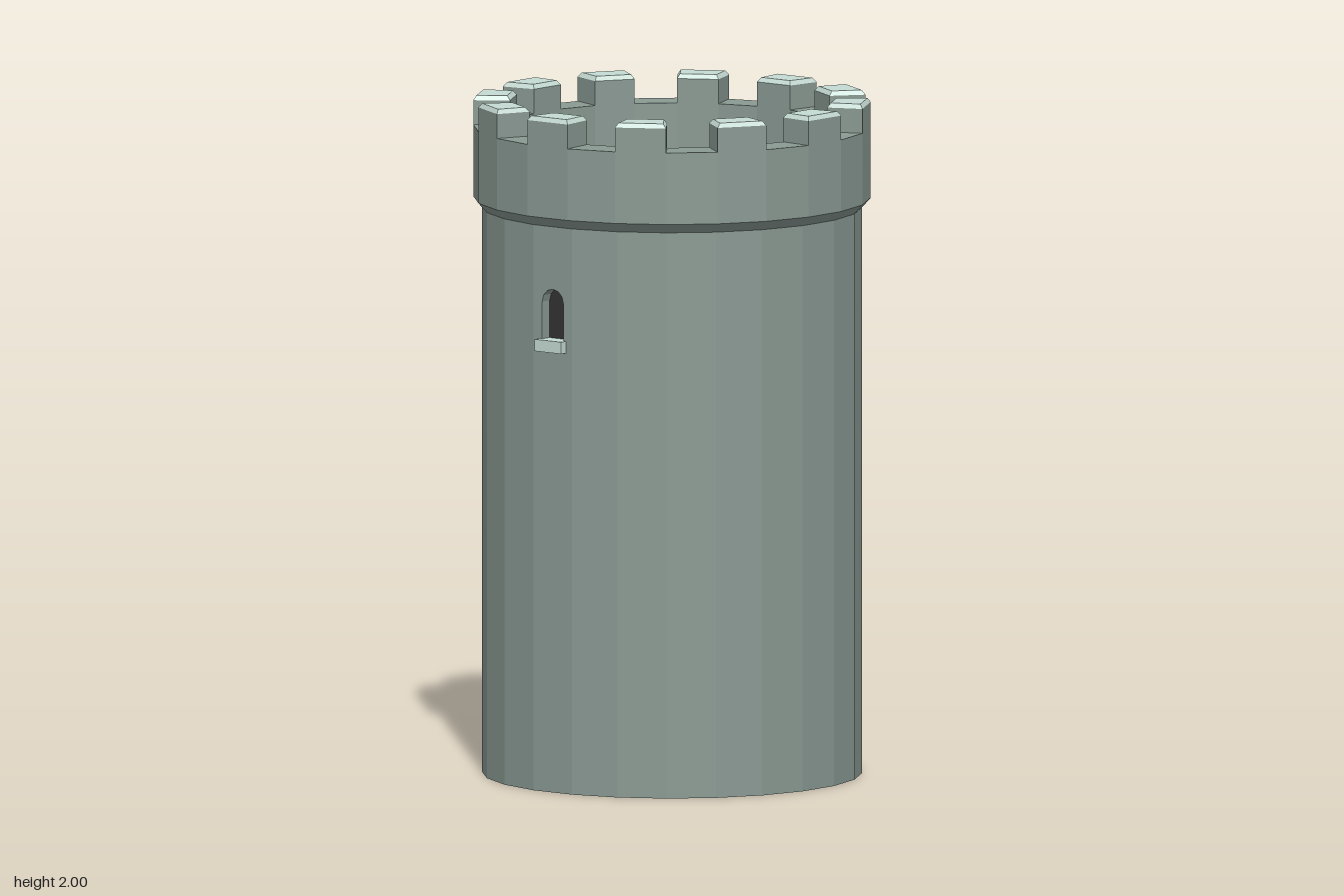
import * as THREE from 'three';

const SIDES = 24, STEP = (Math.PI * 2) / SIDES, HALF = STEP / 2;
const BODY_R = 0.558, OUT_R = 0.583, IN_R = 0.475;
const EAVES_Y = 1.675, WALL_TOP = 1.915, FLOOR_Y = 1.77;

const paint = (color, side = THREE.FrontSide) =>
  new THREE.MeshStandardMaterial({ color, flatShading: true, side });

// Box bent into a ring segment; the top shrinks by inset on all sides
function wedge(y0, y1, inset0, inset1) {
  const geo = new THREE.BoxGeometry(1, 1, 1);
  const p = geo.attributes.position;
  for (let i = 0; i < p.count; i++) {
    const top = p.getY(i) > 0, inset = top ? inset1 : inset0;
    const r = p.getZ(i) > 0 ? OUT_R - inset : IN_R + inset;
    const a = Math.sign(p.getX(i)) * (HALF - inset / r);
    p.setXYZ(i, r * Math.sin(a), top ? y1 : y0, r * Math.cos(a));
  }
  geo.computeVertexNormals();
  return geo;
}

// Round-headed window outline, counter-clockwise from the lower left
function windowOutline() {
  const w = 0.04, sill = 1.335, spring = 1.45, pts = [[-w, sill], [w, sill]];
  for (let i = 0; i <= 6; i++) {
    const a = (i / 6) * Math.PI;
    pts.push([w * Math.cos(a), spring + w * Math.sin(a)]);
  }
  return pts.map(([x, y]) => new THREE.Vector2(x, y));
}

export function createModel() {
  const model = new THREE.Group();
  model.name = 'tower';
  const stone = paint(0x8a9a93);
  const stoneOpen = paint(0x8a9a93, THREE.DoubleSide);
  const paleStone = paint(0xc5dbd3);
  const wood = paint(0x93724c);
  const dark = paint(0x333333, THREE.DoubleSide);

  const add = (parent, name, geo, mat) => {
    const mesh = new THREE.Mesh(geo, mat);
    mesh.name = name;
    parent.add(mesh);
    return mesh;
  };

  // Shaft: flat wall panels, open below, windows in the front and back panels
  const shaft = new THREE.Group();
  shaft.name = 'shaft';
  model.add(shaft);
  const apothem = BODY_R * Math.cos(HALF), w = BODY_R * Math.sin(HALF);
  const outline = windowOutline();
  for (let k = 0; k < SIDES; k++) {
    const panel = new THREE.Shape([[-w, 0], [w, 0], [w, EAVES_Y], [-w, EAVES_Y]]
      .map(([x, y]) => new THREE.Vector2(x, y)));
    const hasWindow = k % (SIDES / 2) === 0;
    if (hasWindow) panel.holes.push(new THREE.Path(outline));
    const geo = new THREE.ShapeGeometry(panel);
    geo.translate(0, 0, apothem).rotateY(k * STEP);
    add(shaft, 'wallPanel', geo, stoneOpen);
  }

  // Windows: reveal, dark back and projecting sill
  for (const turn of [0, Math.PI]) {
    const win = new THREE.Group();
    win.name = turn ? 'backWindow' : 'frontWindow';
    win.rotation.y = turn;
    model.add(win);
    const depth = 0.035, n = outline.length;
    const reveal = new THREE.PlaneGeometry(1, 1, n, 1);
    const p = reveal.attributes.position;
    for (let i = 0; i < p.count; i++) {
      const c = outline[(i % (n + 1)) % n];
      p.setXYZ(i, c.x, c.y, apothem - (i > n ? depth : 0));
    }
    reveal.computeVertexNormals();
    add(win, 'windowReveal', reveal, stoneOpen);
    const back = new THREE.ShapeGeometry(new THREE.Shape(outline));
    add(win, 'windowBack', back.translate(0, 0, apothem - depth), dark);
    const sill = new THREE.BoxGeometry(0.1, 0.035, 0.055);
    add(win, 'windowSill', sill.translate(0, 1.3225, apothem - 0.005), paleStone);
  }

  // Parapet: flared base, outer face, wall top and inner face
  const profile = [[BODY_R, EAVES_Y], [OUT_R, 1.703], [OUT_R, WALL_TOP],
    [IN_R, WALL_TOP], [IN_R, FLOOR_Y - 0.03]].map(([r, y]) => new THREE.Vector2(r, y));
  add(model, 'parapet', new THREE.LatheGeometry(profile, SIDES, HALF), stone);

  // Battlements: a merlon with a bevelled cap on every other side
  const merlonGeo = wedge(WALL_TOP, 1.987, 0, 0);
  const capGeo = wedge(1.987, 2, 0, 0.009);
  for (let k = 0; k < SIDES; k += 2) {
    const merlon = new THREE.Group();
    merlon.name = 'merlon';
    merlon.rotation.y = k * STEP;
    add(merlon, 'merlonBlock', merlonGeo, stone);
    add(merlon, 'merlonCap', capGeo, paleStone);
    model.add(merlon);
  }

  // Roof deck: four wide planks cut to the ring, with dark seams
  const deck = new THREE.Group();
  deck.name = 'roofDeck';
  model.add(deck);
  const gap = 0.003;
  const corner = (i) => (i + 0.5) * STEP;
  // Ring corner indices counted from the centre line, left to right
  for (const [from, to] of [[-6, -2], [-2, -1], [-1, 1], [1, 5]]) {
    const near = [];
    for (let i = from; i <= to; i++) {
      const a = corner(i);
      let x = IN_R * Math.sin(a);
      if (i === from && from > -6) x += gap;
      if (i === to && to < 5) x -= gap;
      near.push([x, IN_R * Math.cos(a)]);
    }
    const far = near.map(([x, y]) => [x, -y]).reverse();
    const pts = [...near, ...far].map(([x, y]) => new THREE.Vector2(x, y));
    const geo = new THREE.ExtrudeGeometry(new THREE.Shape(pts), { depth: 0.03, bevelEnabled: false });
    geo.rotateX(-Math.PI / 2).translate(0, FLOOR_Y - 0.03, 0);
    add(deck, 'plank', geo, wood);
  }
  const bed = new THREE.CircleGeometry(IN_R, SIDES, HALF);
  add(deck, 'deckSeams', bed.rotateX(-Math.PI / 2).translate(0, FLOOR_Y - 0.012, 0), dark);

  // Trapdoor towards the back of the deck
  const hatch = new THREE.BoxGeometry(0.11, 0.012, 0.15);
  add(deck, 'trapdoor', hatch.translate(0, FLOOR_Y + 0.003, -0.285), wood);

  return model;
}
